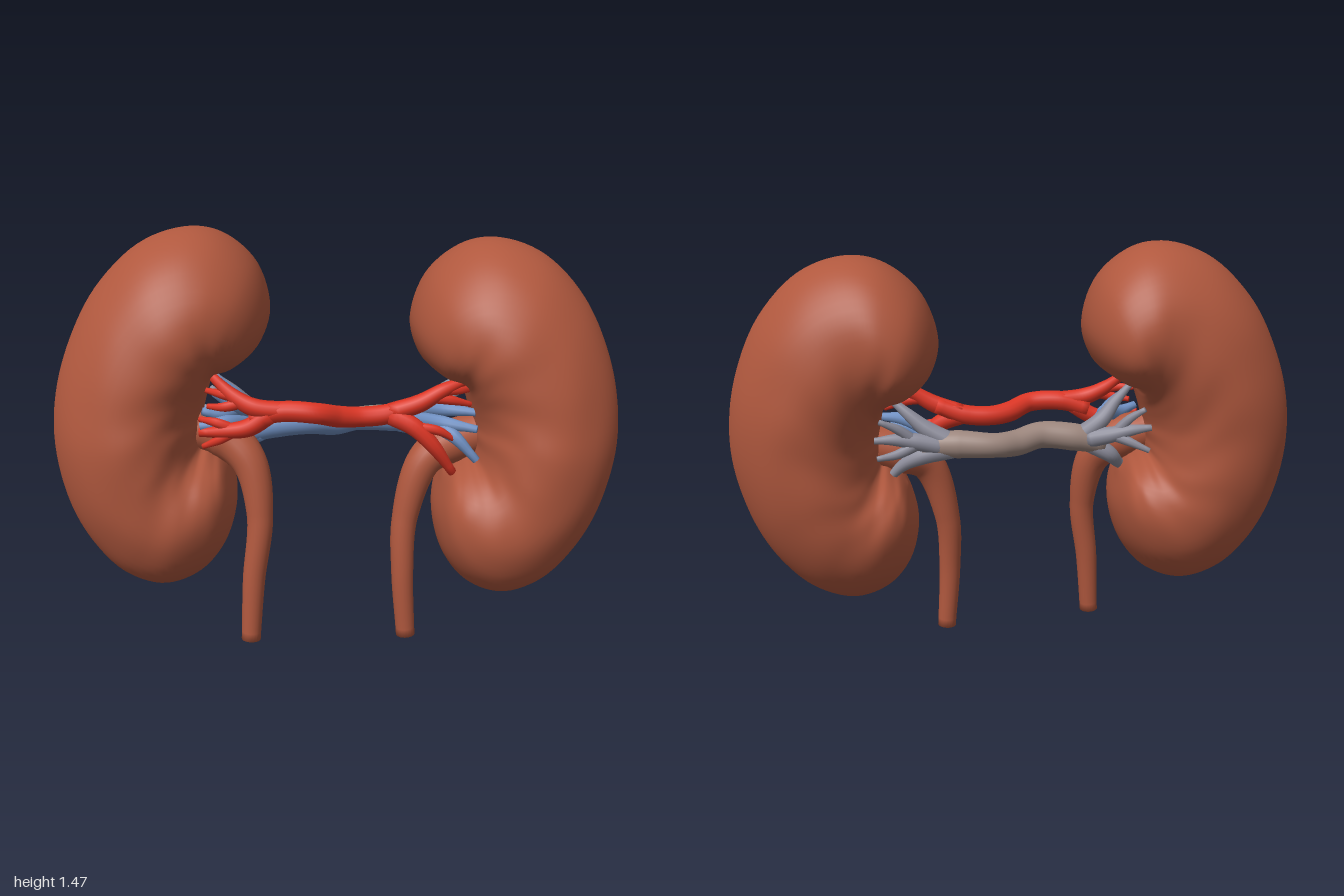
import * as THREE from 'three';
import { mergeVertices } from 'three/addons/utils/BufferGeometryUtils.js';

const mat = (name, color) => {
  const m = new THREE.MeshStandardMaterial({ color });
  m.name = name;
  return m;
};

export function createModel() {
  const model = new THREE.Group();
  model.name = 'kidneys';
  const tissue = mat('reddish brown tissue', 0xb0583e);
  const red = mat('artery red', 0xdb3524);
  const blue = mat('vein blue', 0x7090c2);
  const grey = mat('vein grey', 0x9c867d);
  const greyBlue = mat('vein grey blue', 0x8b8b99);

  // Bean stations, fanned around the hilum: outer x, outer y, half depth, inner x, inner y, centre z
  const stations = [
    [-0.36, 1.0, 0, -0.36, 1.0, -0.04], [-0.275, 1.07, 0.17, -0.41, 0.975, -0.04],
    [-0.238, 1.19, 0.25, -0.44, 0.965, -0.04], [-0.285, 1.35, 0.3, -0.45, 0.95, -0.03],
    [-0.4, 1.45, 0.32, -0.455, 0.93, -0.015], [-0.52, 1.472, 0.33, -0.46, 0.91, 0],
    [-0.68, 1.42, 0.335, -0.465, 0.89, 0.01], [-0.83, 1.28, 0.34, -0.47, 0.87, 0.01],
    [-0.93, 1.1, 0.34, -0.475, 0.85, 0.01], [-0.985, 0.92, 0.34, -0.48, 0.825, 0.01],
    [-0.997, 0.74, 0.34, -0.48, 0.8, 0.01], [-0.955, 0.53, 0.335, -0.485, 0.77, 0.005],
    [-0.88, 0.38, 0.325, -0.485, 0.75, 0], [-0.77, 0.265, 0.315, -0.485, 0.735, 0],
    [-0.63, 0.218, 0.305, -0.48, 0.725, 0], [-0.5, 0.26, 0.285, -0.46, 0.72, 0],
    [-0.41, 0.36, 0.25, -0.44, 0.705, 0], [-0.367, 0.5, 0.18, -0.42, 0.69, 0],
    [-0.39, 0.645, 0, -0.39, 0.645, 0],
  ];
  const outer = new THREE.CatmullRomCurve3(stations.map(s => new THREE.Vector3(s[0], s[1], s[2])));
  const inner = new THREE.CatmullRomCurve3(stations.map(s => new THREE.Vector3(s[3], s[4], s[5])));

  function kidney(name, side, shear, drop, tilt) {
    const rings = 110, sides = 56, pos = [], index = [];
    for (let i = 0; i <= rings; i++) {
      const o = outer.getPoint(i / rings), n = inner.getPoint(i / rings);
      const depth = Math.max(0, o.z);
      for (let j = 0; j < sides; j++) {
        const a = j / sides * Math.PI * 2, c = Math.cos(a), s = Math.sin(a);
        // oval, fuller toward the hilum, with soft lumps
        const lump = 1 + 0.01 * Math.sin(i * 0.37 + 2 * Math.sin(3 * a)) * Math.sin(4 * a + i * 0.13) * Math.abs(s);
        const u = 0.5 + 0.5 * c - 0.06 * s * s;
        const x = n.x + (o.x - n.x) * u, y = n.y + (o.y - n.y) * u;
        const z = n.z + depth * s * lump;
        pos.push(side * -x + shear * (y - 0.85), y - drop, z + 0.01 - tilt * (y - 0.8));
        if (i < rings) {
          const p = i * sides + j, q = i * sides + (j + 1) % sides;
          const r = p + sides, t = q + sides;
          if (side < 0) index.push(p, r, q, q, r, t);
          else index.push(p, q, r, q, t, r);
        }
      }
    }
    let g = new THREE.BufferGeometry();
    g.setAttribute('position', new THREE.Float32BufferAttribute(pos, 3));
    g.setIndex(index);
    g = mergeVertices(g);
    g.computeVertexNormals();
    const mesh = new THREE.Mesh(g, tissue);
    mesh.name = name;
    model.add(mesh);
  }
  kidney('rightKidney', -1, 0, 0, 0.09);
  kidney('leftKidney', 1, 0.07, 0.042, 0.12);

  // Tapered, closed tube through points with a radius at each point
  function vessel(name, material, points, radii, segs = 32, sides = 14) {
    const path = new THREE.CatmullRomCurve3(points.map(p => new THREE.Vector3(...p)));
    let g = new THREE.TubeGeometry(path, segs, 1, sides);
    const p = g.attributes.position, v = new THREE.Vector3();
    for (let i = 0; i <= segs; i++) {
      const t = path.getUtoTmapping(i / segs) * (radii.length - 1);
      const k = Math.min(Math.floor(t), radii.length - 2);
      const end = i === 0 || i === segs;
      const r = end ? 0 : THREE.MathUtils.lerp(radii[k], radii[k + 1], t - k);
      // the ring beside each end is pulled out so the cap is flat
      const centre = path.getPointAt(i / segs);
      const capped = path.getPointAt(i === 1 ? 0 : i === segs - 1 ? 1 : i / segs);
      for (let j = 0; j <= sides; j++) {
        const id = i * (sides + 1) + j;
        v.fromBufferAttribute(p, id).sub(centre).multiplyScalar(r).add(capped);
        p.setXYZ(id, v.x, v.y, v.z);
      }
    }
    g.deleteAttribute('uv');
    g.deleteAttribute('normal');
    g = mergeVertices(g, 1e-5);
    g.computeVertexNormals();
    if (Array.isArray(material)) splitFrontBack(g);
    const mesh = new THREE.Mesh(g, material);
    mesh.name = name;
    model.add(mesh);
  }

  // Front faces take the first material, top and back faces the second
  function splitFrontBack(g) {
    const n = g.attributes.normal, id = g.index.array, front = [], back = [];
    for (let i = 0; i < id.length; i += 3) {
      const f = [id[i], id[i + 1], id[i + 2]];
      const facing = f.reduce((sum, k) => sum + n.getZ(k) - 0.42 * n.getY(k), 0) / 3;
      (facing > 0.22 ? front : back).push(...f);
    }
    g.setIndex([...front, ...back]);
    g.addGroup(0, front.length, 0);
    g.addGroup(front.length, back.length, 1);
  }

  // Ureters, widening into the hilum
  const ureterRadii = [0.07, 0.078, 0.062, 0.046, 0.04, 0.034];
  vessel('rightUreter', tissue, [[-0.52, 0.79, 0.06], [-0.4, 0.75, 0.07], [-0.315, 0.67, 0.11],
    [-0.28, 0.48, 0.15], [-0.305, 0.25, 0.17], [-0.32, 0.022, 0.185]], ureterRadii, 60, 20);
  vessel('leftUreter', tissue, [[0.52, 0.76, 0.04], [0.4, 0.72, 0.05], [0.305, 0.66, 0.08],
    [0.237, 0.45, 0.1], [0.23, 0.25, 0.12], [0.245, 0.002, 0.125]], ureterRadii, 60, 20);

  // Artery trunk, then branches and twigs
  vessel('arteryTrunk', red, [[-0.3, 0.84, 0.17], [-0.2, 0.87, 0.18], [-0.08, 0.865, 0.187], [0, 0.84, 0.14],
    [0.07, 0.832, 0.115], [0.17, 0.84, 0.11], [0.27, 0.875, 0.11]], [0.03, 0.036, 0.036, 0.038, 0.036, 0.036, 0.028], 50);
  const arteries = [
    [[-0.18, 0.87, 0.18], [-0.29, 0.885, 0.18], [-0.36, 0.92, 0.16], [-0.43, 0.98, 0.13]],
    [[-0.24, 0.86, 0.18], [-0.31, 0.815, 0.18], [-0.39, 0.8, 0.17], [-0.48, 0.79, 0.15]],
    [[0.18, 0.845, 0.11], [0.28, 0.88, 0.12], [0.36, 0.925, 0.12], [0.45, 0.96, 0.1]],
    [[0.17, 0.84, 0.11], [0.26, 0.8, 0.14], [0.33, 0.73, 0.15], [0.4, 0.63, 0.13]],
  ];
  arteries.forEach((pts, i) => vessel('arteryBranch' + (i + 1), red, pts, [0.034, 0.032, 0.026, 0.014], 20, 10));
  const arteryTwigs = [
    [[-0.33, 0.9, 0.17], [-0.39, 0.885, 0.17], [-0.45, 0.88, 0.14]],
    [[-0.35, 0.915, 0.16], [-0.4, 0.925, 0.15], [-0.46, 0.93, 0.11]],
    [[-0.36, 0.805, 0.17], [-0.42, 0.83, 0.17], [-0.48, 0.835, 0.14]],
    [[-0.35, 0.805, 0.17], [-0.41, 0.77, 0.17], [-0.47, 0.74, 0.15]],
    [[0.32, 0.9, 0.12], [0.39, 0.89, 0.12], [0.46, 0.87, 0.1]],
    [[0.36, 0.925, 0.12], [0.42, 0.925, 0.11], [0.48, 0.92, 0.07]],
    [[0.25, 0.8, 0.14], [0.34, 0.79, 0.15], [0.4, 0.755, 0.14]],
  ];
  arteryTwigs.forEach((pts, i) => vessel('arteryTwig' + (i + 1), red, pts, [0.02, 0.017, 0.009], 16, 8));

  // Vein trunk and branches, two-toned front to back
  vessel('veinTrunk', [blue, grey], [[-0.33, 0.75, 0], [-0.22, 0.775, -0.01], [-0.1, 0.785, -0.01], [-0.01, 0.768, -0.05],
    [0.07, 0.77, -0.09], [0.2, 0.775, -0.08], [0.32, 0.77, -0.06]], [0.042, 0.05, 0.048, 0.047, 0.043, 0.05, 0.04], 50, 28);
  const veins = [
    [[-0.25, 0.78, -0.01], [-0.32, 0.84, -0.02], [-0.37, 0.9, 0], [-0.43, 0.96, 0.02]],
    [[-0.27, 0.77, -0.02], [-0.35, 0.79, -0.05], [-0.42, 0.81, -0.07], [-0.49, 0.82, -0.08]],
    [[-0.28, 0.75, 0], [-0.35, 0.71, -0.01], [-0.39, 0.67, 0.02], [-0.43, 0.63, 0.04]],
    [[0.22, 0.78, -0.08], [0.31, 0.83, -0.07], [0.37, 0.88, -0.06], [0.44, 0.94, -0.04]],
    [[0.25, 0.77, -0.08], [0.35, 0.79, -0.09], [0.42, 0.8, -0.1], [0.49, 0.8, -0.11]],
    [[0.22, 0.76, -0.08], [0.33, 0.73, -0.07], [0.4, 0.69, -0.05], [0.46, 0.62, -0.03]],
  ];
  veins.forEach((pts, i) => vessel('veinBranch' + (i + 1), [blue, greyBlue], pts, [0.036, 0.03, 0.021, 0.01], 24, 16));
  const backTwigs = [
    [[-0.35, 0.79, -0.05], [-0.41, 0.77, -0.08], [-0.48, 0.74, -0.1]],
    [[-0.36, 0.79, -0.05], [-0.41, 0.85, -0.07], [-0.46, 0.89, -0.1]],
    [[0.35, 0.79, -0.09], [0.41, 0.84, -0.11], [0.47, 0.87, -0.13]],
    [[0.34, 0.78, -0.09], [0.41, 0.75, -0.11], [0.48, 0.74, -0.13]],
  ];
  backTwigs.forEach((pts, i) => vessel('veinBackTwig' + (i + 1), greyBlue, pts, [0.021, 0.017, 0.009], 16, 8));
  const frontTwigs = [
    [[-0.3, 0.81, 0], [-0.37, 0.87, 0.08], [-0.43, 0.92, 0.11]],
    [[-0.33, 0.86, 0], [-0.4, 0.84, 0.1], [-0.47, 0.86, 0.13]],
    [[-0.3, 0.78, 0.02], [-0.39, 0.82, 0.13], [-0.48, 0.81, 0.15]],
    [[0.3, 0.82, -0.05], [0.38, 0.84, 0.05], [0.48, 0.84, 0.1]],
    [[0.28, 0.78, -0.05], [0.37, 0.8, 0.09], [0.48, 0.79, 0.14]],
    [[0.29, 0.77, -0.04], [0.39, 0.77, 0.12], [0.48, 0.68, 0.15]],
  ];
  frontTwigs.forEach((pts, i) => vessel('veinFrontTwig' + (i + 1), blue, pts, [0.028, 0.026, 0.012], 16, 10));

  return model;
}
